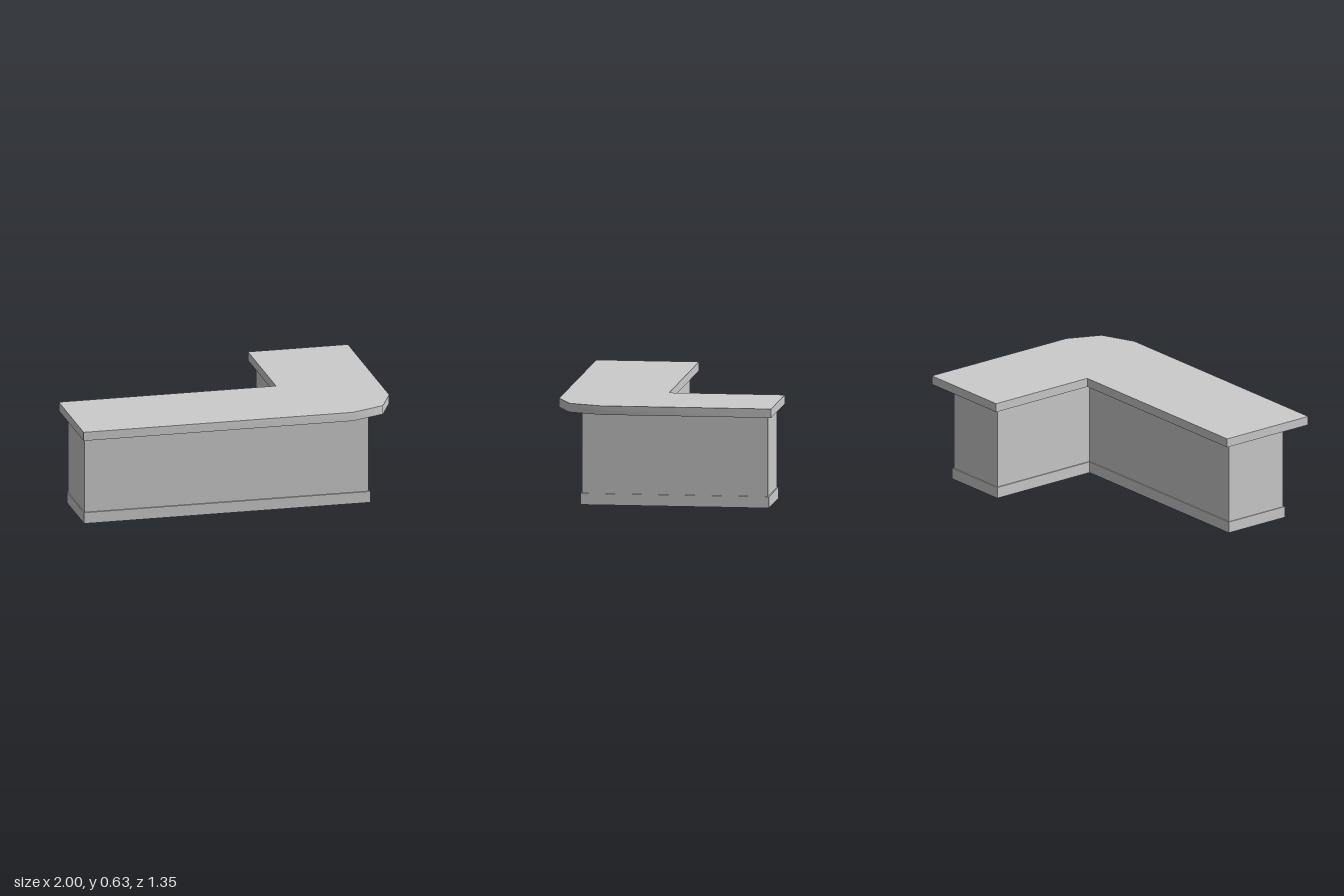
import * as THREE from 'three';
import { toCreasedNormals } from 'three/addons/utils/BufferGeometryUtils.js';

const material = new THREE.MeshStandardMaterial({ color: 0xcccccc });

// Horizontal slab from a plan outline of [x, z] points, between two heights
function slab(name, outline, y0, y1) {
  const shape = new THREE.Shape(outline.map(([x, z]) => new THREE.Vector2(x, -z)));
  let geometry = new THREE.ExtrudeGeometry(shape, { depth: y1 - y0, bevelEnabled: false });
  geometry.rotateX(-Math.PI / 2);
  geometry.translate(0, y0, 0);
  // Soften the shallow corner facets, keep right angles sharp
  geometry = toCreasedNormals(geometry, 0.9);
  const mesh = new THREE.Mesh(geometry, material);
  mesh.name = name;
  return mesh;
}

// L-shaped plan: long wing along x, return wing towards -z on the +x side
function lPlan(x0, x1, z0, z1, innerX, innerZ, outerCorner = [[x1, z1]]) {
  return [[x0, z1], ...outerCorner, [x1, z0], [innerX, z0], [innerX, innerZ], [x0, innerZ]];
}

export function createModel() {
  const counter = new THREE.Group();
  counter.name = 'cornerCounter';

  // Plinth, slightly wider than the body
  counter.add(slab('plinth', lPlan(-0.96, 0.845, -0.64, 0.525, 0.403, 0.084), 0, 0.07));

  // Body
  counter.add(slab('body', lPlan(-0.955, 0.837, -0.633, 0.515, 0.41, 0.091), 0.07, 0.58));

  // Overhanging countertop with a faceted round outer corner
  const corner = [[0.7, 0.675], [0.91, 0.585], [1, 0.38]];
  counter.add(slab('countertop', lPlan(-1, 1, -0.675, 0.675, 0.37, 0.04, corner), 0.58, 0.635));

  return counter;
}
